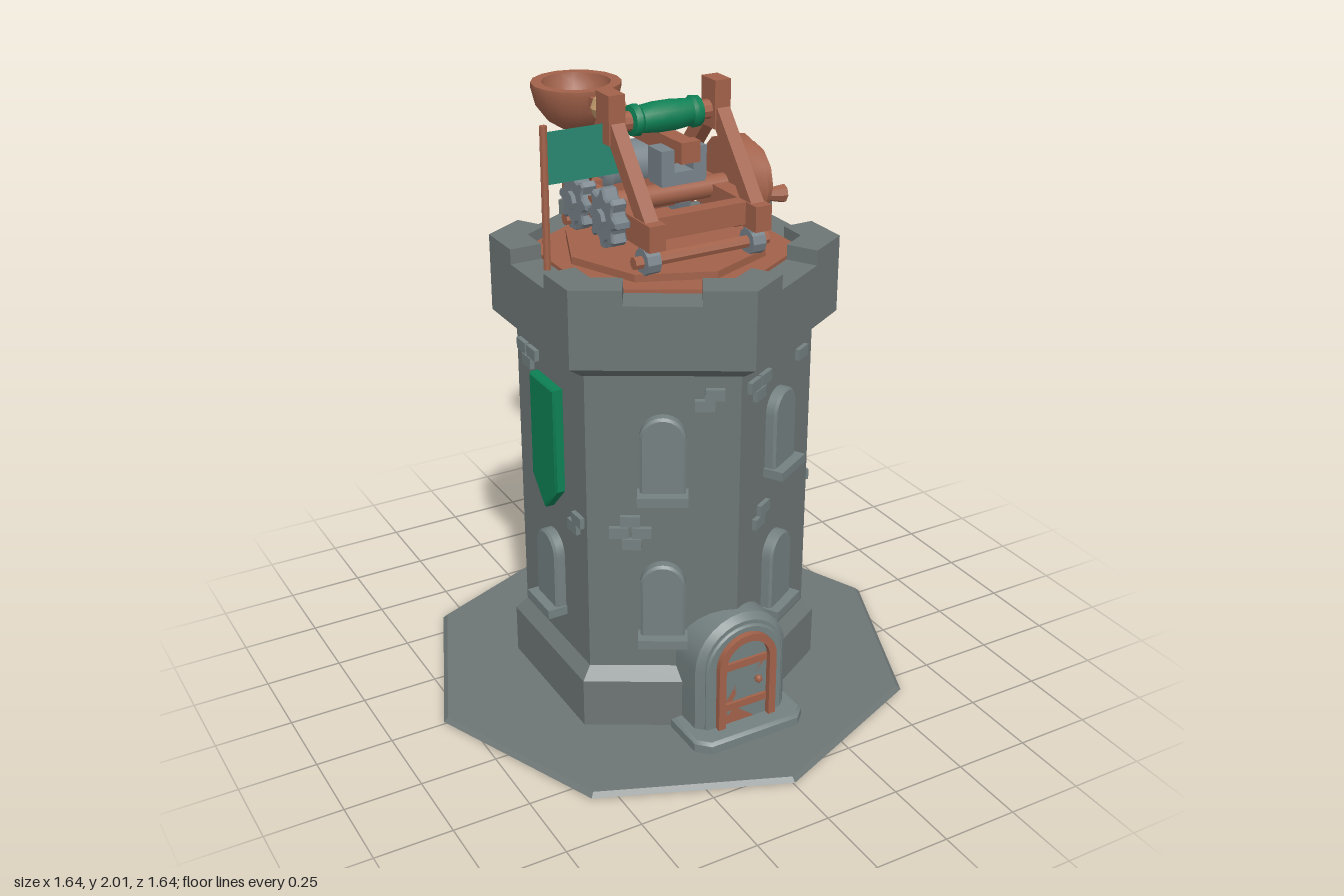
import * as THREE from 'three';
import { toCreasedNormals } from 'three/addons/utils/BufferGeometryUtils.js';

const material = (name, color) => {
  const m = new THREE.MeshStandardMaterial({ color });
  m.name = name;
  return m;
};

export function createModel() {
  const wall = material('wall stone', 0x6d7675);
  const trim = material('trim stone', 0x748080);
  const metal = material('metal', 0x78838a);
  const wood = material('wood', 0xa2624a);
  const rope = material('rope', 0xc8a070);
  const green = material('green cloth', 0x0d8055);
  const teal = material('flag cloth', 0x288871);
  teal.side = THREE.DoubleSide;

  const model = new THREE.Group();
  model.name = 'catapultTower';

  const add = (parent, name, geo, mat, x = 0, y = 0, z = 0) => {
    const m = new THREE.Mesh(toCreasedNormals(geo, 0.55), mat);
    m.name = name;
    m.position.set(x, y, z);
    parent.add(m);
    return m;
  };
  const box = (p, name, mat, w, h, d, x, y, z) => add(p, name, new THREE.BoxGeometry(w, h, d), mat, x, y, z);
  // Cylinder lying along x
  const rod = (p, name, mat, r0, r1, len, x, y, z, sides = 12) =>
    add(p, name, new THREE.CylinderGeometry(r1, r0, len, sides).rotateZ(-Math.PI / 2), mat, x, y, z);
  const beam = (p, name, a, b, w, h) => {
    const A = new THREE.Vector3(...a), B = new THREE.Vector3(...b);
    const m = add(p, name, new THREE.BoxGeometry(w, h, A.distanceTo(B)), wood);
    m.position.copy(A).add(B).multiplyScalar(0.5);
    m.lookAt(B);
  };
  const extrude = (shape, depth, bevel = 0) => new THREE.ExtrudeGeometry(shape, {
    depth: depth - bevel, bevelEnabled: bevel > 0, bevelSize: bevel, bevelThickness: bevel,
    bevelOffset: -bevel, bevelSegments: 1, curveSegments: 7,
  });
  const arch = (hw, h, hole) => {
    const s = new THREE.Shape();
    s.moveTo(-hw, 0).lineTo(hw, 0).lineTo(hw, h - hw).absarc(0, h - hw, hw, 0, Math.PI, false);
    if (hole) s.holes.push(arch(hole, h - (hw - hole)));
    return s;
  };
  const polygon = pts => new THREE.Shape(pts.map(p => new THREE.Vector2(...p)));
  const lathe = (pts, n) => new THREE.LatheGeometry(pts.map(p => new THREE.Vector2(...p)), n);

  // Ground slab and hexagonal tower
  add(model, 'ground', new THREE.CylinderGeometry(0.805, 0.82, 0.014, 8), wall, 0, 0.007);
  add(model, 'tower', lathe([[0, 0.005], [0.505, 0.005], [0.505, 0.18], [0.465, 0.22], [0.465, 1.235],
    [0.48, 1.24], [0.54, 1.28], [0.54, 1.48], [0, 1.48]], 6), wall);
  add(model, 'roofFloor', new THREE.CylinderGeometry(0.42, 0.42, 0.02, 6), wood, 0, 1.482);
  add(model, 'turntable', new THREE.CylinderGeometry(0.32, 0.32, 0.025, 8), wood, 0, 1.503);

  // Merlons wrap each corner, leaving a gap in the middle of every face
  const px = 0.155 * 0.866, py = 0.54 - 0.155 * 0.5;
  const merlon = polygon([[0, 0.54], [-px, py], [-px + 0.051, py - 0.089], [0, 0.42], [px - 0.051, py - 0.089], [px, py]]);
  for (let k = 0; k < 6; k++) {
    const m = add(model, 'merlon', extrude(merlon, 0.05).rotateX(-Math.PI / 2), wall, 0, 1.478);
    m.rotation.y = k * Math.PI / 3;
  }

  // Raised brick clusters for each face: [u, y, pattern]
  const patterns = [
    [[-0.035, 0.02], [0.035, 0.02], [0, -0.02]],
    [[0, 0.04], [-0.035, 0], [0.035, 0], [0.005, -0.04]],
    [[0.015, 0.018], [-0.015, -0.018]],
    [[0, 0]],
  ];
  const bricks = [
    [[-0.13, 1.16, 0], [0.15, 1.17, 3], [-0.1, 0.71, 2]],
    [[0.12, 1.16, 0], [-0.18, 0.71, 2]],
    [[-0.13, 1.16, 2], [0.13, 1.17, 0], [-0.03, 0.71, 2], [0.15, 0.27, 0]],
    [[-0.14, 1.16, 0], [0.15, 1.17, 3], [0, 0.71, 1], [0.14, 0.27, 2]],
    [[-0.14, 1.16, 0], [0.17, 0.71, 2]],
    [[0.14, 1.16, 2], [-0.1, 0.71, 1]],
  ];
  const bannerShape = polygon([[-0.085, 1.13], [-0.085, 0.78], [0, 0.69], [0.085, 0.78], [0.085, 1.13]]);

  // Every face: local +z points outward from the wall
  for (let k = 0; k < 6; k++) {
    const face = new THREE.Group();
    face.name = 'towerFace';
    face.rotation.y = Math.PI / 6 + k * Math.PI / 3;
    model.add(face);
    const side = k % 3 === 1;
    for (const y of side ? [0.33] : [0.33, 0.835]) {
      add(face, 'windowFrame', extrude(arch(0.07, 0.275, 0.045), 0.04, 0.008), trim, 0, y, 0.398);
      add(face, 'windowPanel', extrude(arch(0.046, 0.25), 0.012), wall, 0, y, 0.398);
      box(face, 'windowSill', trim, 0.155, 0.03, 0.08, 0, y + 0.01, 0.43);
    }
    if (side) add(face, 'banner', extrude(bannerShape, 0.035, 0.006), green, 0, 0, 0.4);
    for (const [u, y, p] of bricks[k])
      for (const [du, dy] of patterns[p]) box(face, 'brick', trim, 0.06, 0.036, 0.03, u + du, y + dy, 0.403);
  }

  // Door with stone porch
  const door = new THREE.Group();
  door.name = 'door';
  model.add(door);
  const step = polygon([[-0.16, -0.59], [0.16, -0.59], [0.2, -0.55], [0.2, -0.4], [-0.2, -0.4], [-0.2, -0.55]]);
  add(door, 'doorStep', extrude(step, 0.05, 0.01).rotateX(-Math.PI / 2), trim, 0, 0.002);
  add(door, 'porch', extrude(arch(0.165, 0.41), 0.14, 0.02), trim, 0, 0.022, 0.37);
  add(door, 'porchRim', extrude(arch(0.14, 0.36, 0.1), 0.02, 0.006), trim, 0, 0.04, 0.5);
  add(door, 'doorFrame', extrude(arch(0.105, 0.33, 0.08), 0.045), wood, 0, 0.048, 0.495);
  add(door, 'doorPanel', extrude(arch(0.081, 0.305), 0.025), wood, 0, 0.048, 0.495);
  for (const y of [0.12, 0.27]) box(door, 'doorBrace', wood, 0.15, 0.025, 0.012, 0, y, 0.524);
  add(door, 'doorKnob', new THREE.SphereGeometry(0.013, 8, 6), wood, 0.045, 0.195, 0.53);

  // Flag beside the catapult
  add(model, 'flagPole', new THREE.CylinderGeometry(0.012, 0.012, 0.44, 8), wood, -0.4, 1.71, 0);
  add(model, 'flag', new THREE.PlaneGeometry(0.265, 0.16), teal, -0.26, 1.83, 0);

  // Catapult frame
  const cat = new THREE.Group();
  cat.name = 'catapult';
  model.add(cat);
  for (const s of [-1, 1]) {
    const x = s * 0.18;
    box(cat, 'baseBeam', wood, 0.055, 0.08, 0.565, x, 1.635, 0);
    box(cat, 'apexBlock', wood, 0.055, 0.15, 0.08, x, 1.925, 0);
    for (const t of [-1, 1]) {
      beam(cat, 'slantedLeg', [x, 1.65, t * 0.235], [x, 1.9, t * 0.025], 0.045, 0.05);
      rod(cat, 'frameWheel', metal, 0.042, 0.042, 0.045, x, 1.55, t * 0.225, 10);
      box(cat, 'wheelBracket', metal, 0.04, 0.05, 0.045, x, 1.605, t * 0.225);
    }
  }
  for (const t of [-1, 1]) {
    box(cat, 'crossBeam', wood, 0.32, 0.07, 0.05, 0, 1.64, t * 0.2);
    rod(cat, 'wheelAxle', wood, 0.02, 0.02, 0.46, 0, 1.55, t * 0.225, 8);
  }

  // Crank wheel on the left, gears on the right
  rod(cat, 'winchAxle', wood, 0.035, 0.035, 0.5, 0, 1.66, 0);
  rod(cat, 'crankWheel', wood, 0.145, 0.145, 0.075, 0.248, 1.665, 0);
  rod(cat, 'crankHub', wood, 0.115, 0.115, 0.04, 0.3, 1.665, 0);
  rod(cat, 'crankHandle', wood, 0.016, 0.03, 0.085, 0.36, 1.615, 0.047, 8).rotation.z = -0.1;
  const teeth = [];
  for (let i = 0; i < 32; i++) {
    const a = (i - 0.5) * Math.PI / 16, r = i % 4 < 2 ? 0.092 : 0.07;
    teeth.push([r * Math.cos(a), r * Math.sin(a)]);
  }
  for (const z of [-0.085, 0.105]) {
    add(cat, 'gear', extrude(polygon(teeth), 0.045, 0.006).rotateY(Math.PI / 2), metal, -0.265, 1.66, z);
    rod(cat, 'gearHub', metal, 0.03, 0.03, 0.08, -0.245, 1.66, z, 8);
  }

  // Counterweight drum and arm cradle
  rod(cat, 'drum', metal, 0.075, 0.075, 0.24, 0, 1.69, -0.24, 16);
  for (const s of [-1, 1]) {
    rod(cat, 'drumRim', metal, 0.08, 0.08, 0.03, s * 0.1, 1.69, -0.24, 16);
    box(cat, 'cradleCheek', metal, 0.045, 0.1, 0.08, s * 0.055, 1.785, 0.08);
  }
  box(cat, 'cradleBase', metal, 0.15, 0.04, 0.08, 0, 1.745, 0.08);

  // Padded crossbar: profile turned to lie along x
  rod(cat, 'crossbar', wood, 0.03, 0.03, 0.36, 0, 1.905, 0, 10);
  add(cat, 'crossbarPad', lathe([[0.03, -0.12], [0.047, -0.115], [0.05, -0.095], [0.042, -0.085], [0.048, -0.03],
    [0.048, 0.03], [0.042, 0.085], [0.05, 0.095], [0.047, 0.115], [0.03, 0.12]], 12).rotateZ(-Math.PI / 2), green, 0, 1.905, 0);

  // Throwing arm, rope binding and bowl
  box(cat, 'throwingArm', wood, 0.055, 0.055, 0.62, 0, 1.833, -0.15);
  box(cat, 'armButt', wood, 0.065, 0.065, 0.04, 0, 1.833, 0.14);
  const binding = lathe([[0.03, -0.065], [0.042, -0.055], [0.046, -0.03], [0.036, 0],
    [0.046, 0.03], [0.042, 0.055], [0.03, 0.065]], 8).rotateX(-Math.PI / 2);
  add(cat, 'ropeBinding', binding, rope, 0, 1.836, -0.35);
  add(cat, 'bowl', lathe([[0, 1.715], [0.05, 1.722], [0.1, 1.753], [0.135, 1.8], [0.15, 1.86], [0.15, 1.876],
    [0.115, 1.876], [0.108, 1.84], [0.08, 1.79], [0.04, 1.765], [0, 1.76]], 16), wood, 0, 0, -0.587);

  return model;
}
